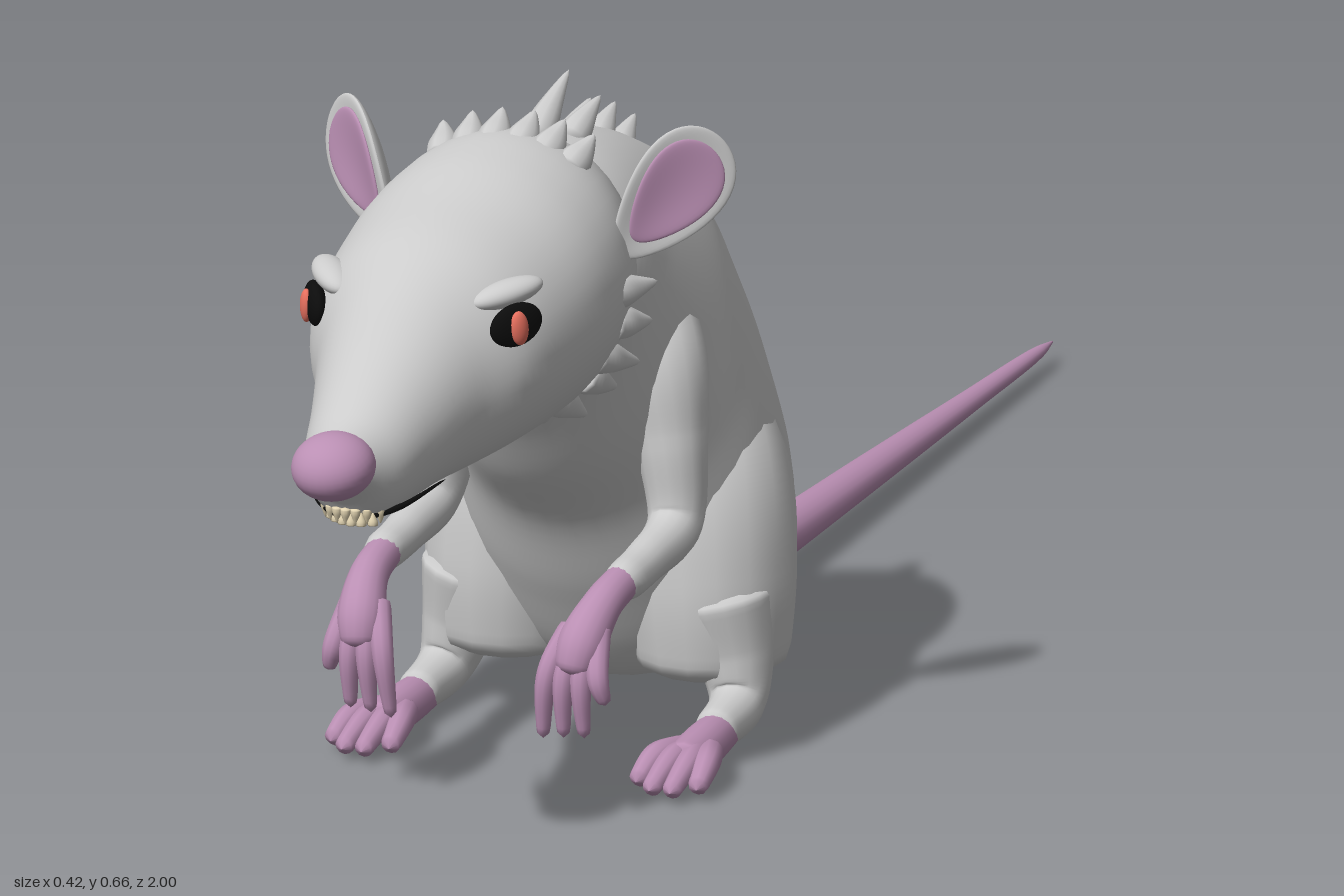
import * as THREE from 'three';
import { mergeVertices, mergeGeometries } from 'three/addons/utils/BufferGeometryUtils.js';

const mat = (color) => new THREE.MeshStandardMaterial({ color });
const V = (x, y, z) => new THREE.Vector3(x, y, z);

// Closed skin through rows of [upper z, upper y, lower z, lower y, half width]
function loft(rows, steps = 64, sides = 40) {
  const upper = new THREE.CatmullRomCurve3(rows.map((r) => V(r[4], r[1], r[0])));
  const lower = new THREE.CatmullRomCurve3(rows.map((r) => V(r[4], r[3], r[2])));
  const pos = [], idx = [];
  for (let i = 0; i <= steps; i++) {
    const a = upper.getPoint(i / steps), b = lower.getPoint(i / steps);
    const w = (a.x + b.x) / 2;
    for (let j = 0; j < sides; j++) {
      const t = (j / sides) * Math.PI * 2, c = Math.cos(t);
      pos.push(w * Math.sin(t), (a.y + b.y) / 2 + ((a.y - b.y) / 2) * c, (a.z + b.z) / 2 + ((a.z - b.z) / 2) * c);
      const n = i * sides + j, m = i * sides + ((j + 1) % sides);
      if (i < steps) idx.push(n, n + sides, m, n + sides, m + sides, m);
    }
  }
  const start = pos.length / 3, last = steps * sides;
  for (const r of [rows[0], rows[rows.length - 1]]) pos.push(0, (r[1] + r[3]) / 2, (r[0] + r[2]) / 2);
  for (let j = 0; j < sides; j++) {
    const k = (j + 1) % sides;
    idx.push(start, j, k, start + 1, last + k, last + j);
  }
  const g = new THREE.BufferGeometry();
  g.setAttribute('position', new THREE.Float32BufferAttribute(pos, 3));
  g.setIndex(idx);
  g.computeVertexNormals();
  return g;
}

// Round-ended tube through points, with a radius at each point
function limb(points, radii, seg = 32, sides = 16) {
  const curve = new THREE.CatmullRomCurve3(points.map((p) => V(...p)));
  const size = new THREE.CatmullRomCurve3(radii.map((r, i) => V(r, i, 0)));
  let g = new THREE.TubeGeometry(curve, seg, 1, sides);
  const p = g.attributes.position, v = V(0, 0, 0);
  for (let i = 0; i <= seg; i++) {
    const u = i / seg, c = curve.getPointAt(u);
    const end = Math.max(0, Math.abs(u - 0.5) * 2 - 0.84) / 0.16;
    const r = size.getPoint(curve.getUtoTmapping(u)).x * Math.sqrt(Math.max(0.0004, 1 - end * end));
    for (let j = 0; j <= sides; j++) {
      const k = i * (sides + 1) + j;
      v.fromBufferAttribute(p, k).sub(c).multiplyScalar(r).add(c);
      p.setXYZ(k, v.x, v.y, v.z);
    }
  }
  g.deleteAttribute('uv');
  g.deleteAttribute('normal');
  g = mergeVertices(g, 1e-6);
  g.computeVertexNormals();
  return g;
}

function place(g, pos, rot = [0, 0, 0]) {
  const q = new THREE.Quaternion().setFromEuler(new THREE.Euler(...rot, 'YXZ'));
  return g.applyMatrix4(new THREE.Matrix4().compose(V(...pos), q, V(1, 1, 1)));
}

function blob(radii, pos, rot) {
  return place(new THREE.SphereGeometry(1, 32, 20).scale(...radii), pos, rot);
}

// Tapering point, rooted under the surface, with its tip bent back by bend
function spike(pos, dir, r, len, bend = 0) {
  const d = V(...dir).normalize();
  const at = (t) => V(...pos).addScaledVector(d, t * len).add(V(0, 0, -bend * len * t * t)).toArray();
  return limb([at(-0.35), at(0.1), at(0.55), at(1)], [r, r, r * 0.6, r * 0.1], 12, 10);
}

// Cupped leaf, narrower at its foot
function leaf(w, h, d, cup) {
  const g = new THREE.SphereGeometry(1, 36, 24), p = g.attributes.position;
  for (let i = 0; i < p.count; i++) {
    const x = p.getX(i), y = p.getY(i);
    p.setXYZ(i, x * w * (1 + 0.35 * y), y * h, p.getZ(i) * d + cup * (x * x + 0.5 * y * y));
  }
  g.computeVertexNormals();
  return g;
}

function mirrored(geo) {
  const g = geo.clone().scale(-1, 1, 1), ix = g.index.array;
  for (let i = 0; i < ix.length; i += 3) [ix[i], ix[i + 1]] = [ix[i + 1], ix[i]];
  return g;
}

export function createModel() {
  const root = new THREE.Group();
  root.name = 'rat';
  const fur = mat(0xcccccc), skin = mat(0xba8fb3), black = mat(0x0c0c0c), red = mat(0xe8705f), bone = mat(0xe0d2b0);
  const add = (name, geo, material) => {
    const m = new THREE.Mesh(geo, material);
    m.name = name;
    root.add(m);
  };
  const pair = (name, geo, material) => {
    add(name + 'Left', geo, material);
    add(name + 'Right', mirrored(geo), material);
  };

  // Trunk, from tail root to neck
  add('body', loft([
    [0.02, 0.083, 0.02, 0.017, 0.034], [0.06, 0.137, 0.13, 0.016, 0.07], [0.112, 0.22, 0.26, 0.018, 0.118],
    [0.155, 0.303, 0.37, 0.045, 0.16], [0.193, 0.385, 0.44, 0.14, 0.163], [0.228, 0.47, 0.49, 0.23, 0.149],
    [0.272, 0.545, 0.545, 0.29, 0.134], [0.36, 0.592, 0.595, 0.36, 0.118], [0.46, 0.614, 0.63, 0.39, 0.108],
    [0.56, 0.61, 0.66, 0.4, 0.085],
  ]), fur);

  // Head, from nape to muzzle
  add('head', loft([
    [0.42, 0.55, 0.48, 0.43, 0.06], [0.5, 0.613, 0.53, 0.39, 0.103], [0.57, 0.638, 0.58, 0.375, 0.127],
    [0.64, 0.63, 0.64, 0.367, 0.134], [0.71, 0.607, 0.71, 0.365, 0.128], [0.775, 0.583, 0.775, 0.363, 0.112],
    [0.825, 0.55, 0.825, 0.36, 0.083], [0.88, 0.499, 0.88, 0.356, 0.062], [0.93, 0.457, 0.925, 0.358, 0.047],
    [0.965, 0.44, 0.945, 0.38, 0.032], [0.985, 0.425, 0.965, 0.4, 0.015],
  ]), fur);
  add('nose', blob([0.038, 0.029, 0.037], [0, 0.419, 0.963], [0.3, 0, 0]), skin);
  pair('brow', blob([0.036, 0.012, 0.017], [0.087, 0.54, 0.777], [0, 0.85, 0.2]), fur);
  pair('eye', blob([0.027, 0.02, 0.01], [0.1, 0.514, 0.787], [0, 0.95, 0.2]), black);
  pair('iris', blob([0.009, 0.016, 0.006], [0.106, 0.513, 0.793], [0, 0.95, 0.1]), red);
  add('mouth', limb([[-0.066, 0.388, 0.868], [-0.036, 0.37, 0.918], [0, 0.366, 0.934], [0.036, 0.37, 0.918],
    [0.066, 0.388, 0.868]], [0.001, 0.003, 0.005, 0.003, 0.001]), black);

  // Teeth: interlocking upper and lower points
  const teeth = [];
  for (let i = -3; i <= 3; i++) {
    const z = 0.94 - 0.0017 * i * i;
    teeth.push(spike([i * 0.009, 0.37, z], [0, -1, 0], 0.0045, 0.012));
    if (i < 3) teeth.push(spike([(i + 0.5) * 0.009, 0.36, z - 0.002], [0, 1, 0], 0.0045, 0.01));
  }
  add('teeth', mergeGeometries(teeth), bone);

  // Ears
  const earPos = [0.152, 0.586, 0.556], earTurn = [0, 0.61, -0.72];
  pair('ear', place(leaf(0.044, 0.073, 0.011, 0.014), earPos, earTurn), fur);
  pair('innerEar', place(leaf(0.035, 0.056, 0.008, 0.009).translate(0, 0.004, 0.007), earPos, earTurn), skin);

  // Fur tufts: crown row, spine crest and cheek ruff
  const tufts = [];
  for (const x of [-0.066, -0.04, -0.014, 0.014, 0.04, 0.066])
    tufts.push(spike([x, 0.629 - 4 * x * x, 0.575], [x * 4, 0.55, -0.75], 0.016, 0.042, -0.2));
  for (const [x, y, z, s] of [[0, 0.622, 0.5, 0.075], [0.018, 0.61, 0.46, 0.05], [-0.018, 0.61, 0.46, 0.05],
    [0, 0.6, 0.42, 0.045], [0, 0.583, 0.36, 0.045], [0, 0.56, 0.31, 0.045], [0, 0.53, 0.277, 0.035]])
    tufts.push(spike([x, y, z], [x * 8, 0.55, -0.8], 0.015, s, 0.1));
  for (let i = -6; i <= 6; i++) {
    const t = i * 0.27, s = Math.sin(t), c = Math.cos(t), odd = Math.abs(i % 2);
    tufts.push(spike([0.12 * s, 0.495 - 0.12 * c, 0.605 - 0.014 * odd], [s * 0.42, -c * 0.6, -0.7], 0.017, 0.046 - 0.008 * odd, 0.15));
  }
  add('furTufts', mergeGeometries(tufts), fur);

  // Arms and hands
  pair('arm', limb([[0.06, 0.46, 0.4], [0.097, 0.395, 0.445], [0.116, 0.32, 0.46], [0.126, 0.242, 0.475],
    [0.125, 0.223, 0.55], [0.124, 0.217, 0.62]], [0.04, 0.047, 0.036, 0.027, 0.021, 0.02], 48), fur);
  pair('palm', limb([[0.124, 0.221, 0.585], [0.12, 0.207, 0.64], [0.113, 0.178, 0.672], [0.109, 0.148, 0.685]],
    [0.017, 0.019, 0.023, 0.017]), skin);
  const fingers = [[0.078, 0.085], [0.099, 0.088], [0.12, 0.09], [0.142, 0.125]].map(([x, y], i) => limb([
    [0.113 + (i - 1.5) * 0.009, 0.195, 0.66], [0.11 + (i - 1.5) * 0.017, 0.15, 0.687], [x, y, 0.684]],
  [0.011, 0.0105, 0.006], 20, 10));
  pair('fingers', mergeGeometries(fingers), skin);

  // Hind legs and feet
  pair('thigh', limb([[0.07, 0.34, 0.27], [0.095, 0.25, 0.32], [0.106, 0.15, 0.338], [0.11, 0.045, 0.34]],
    [0.05, 0.083, 0.086, 0.075]), fur);
  pair('shin', limb([[0.13, 0.15, 0.37], [0.148, 0.075, 0.373], [0.156, 0.038, 0.39], [0.158, 0.027, 0.465]],
    [0.055, 0.038, 0.028, 0.02]), fur);
  pair('foot', limb([[0.158, 0.025, 0.425], [0.159, 0.024, 0.48], [0.16, 0.022, 0.545]], [0.019, 0.022, 0.021]), skin);
  const toes = [0.129, 0.15, 0.171, 0.191].map((x, i) => limb([
    [0.16 + (x - 0.16) * 0.4, 0.026, 0.5], [0.16 + (x - 0.16) * 0.85, 0.028, 0.545], [x, 0.014, 0.6 - (i % 3 ? 0 : 0.018)]],
  [0.013, 0.013, 0.009], 20, 10));
  pair('toes', mergeGeometries(toes), skin);

  // Tail
  add('tail', loft([
    [0.035, 0.08, 0.035, 0.018, 0.032], [-0.02, 0.075, -0.02, 0.018, 0.031], [-0.1, 0.067, -0.1, 0.018, 0.028],
    [-0.4, 0.055, -0.4, 0.018, 0.022], [-0.7, 0.043, -0.7, 0.018, 0.015], [-0.95, 0.033, -0.95, 0.019, 0.008],
    [-1, 0.027, -1, 0.024, 0.001],
  ].reverse(), 48, 20), skin);
  return root;
}
